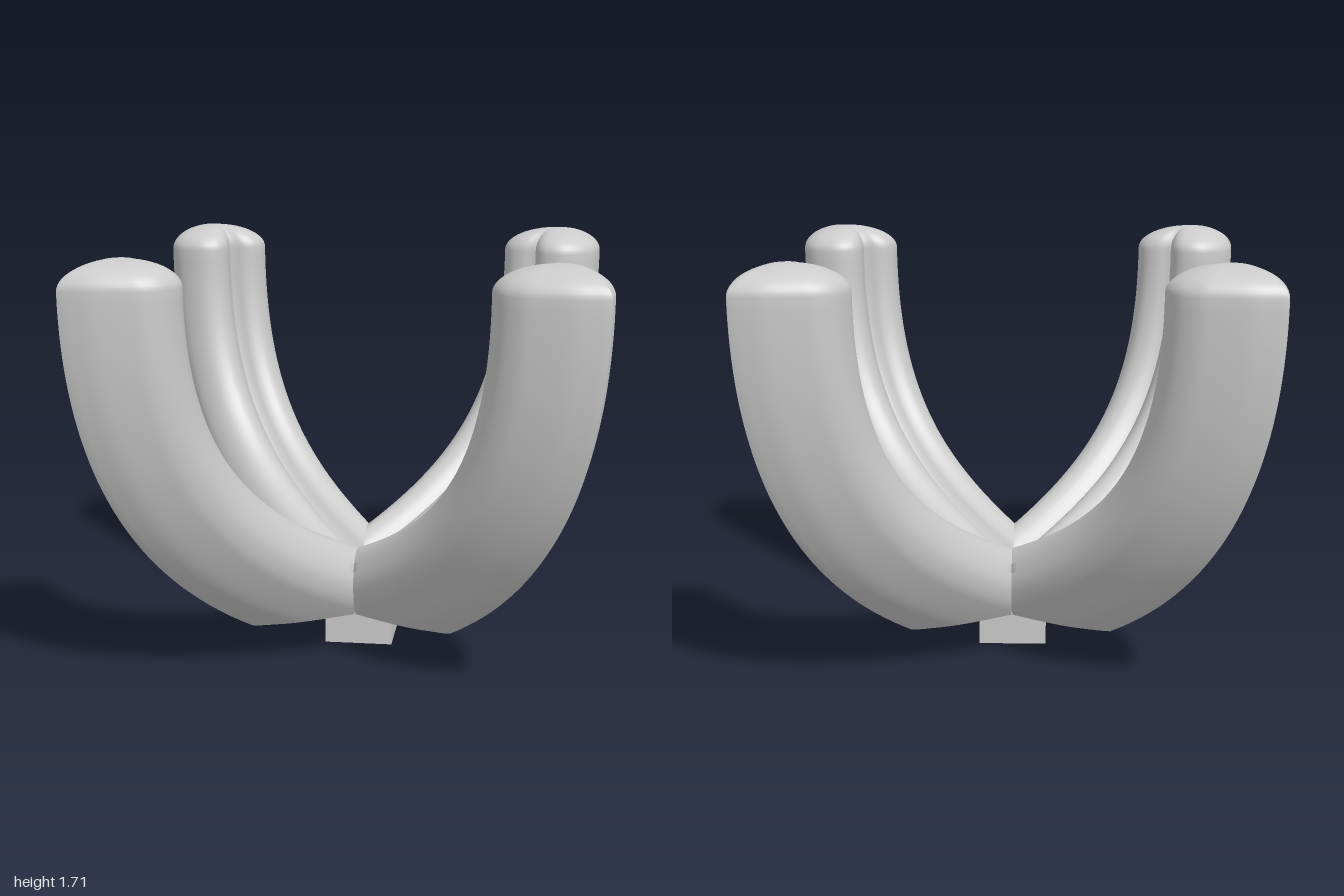
import * as THREE from 'three';
import { toCreasedNormals } from 'three/addons/utils/BufferGeometryUtils.js';

const RINGS = 48, CAP = 14, HALF = 36;

// Arm centre line in its own vertical plane (x = outward, y = up)
const path = new THREE.CubicBezierCurve(
  new THREE.Vector2(0, 0.16), new THREE.Vector2(0.62, 0.4),
  new THREE.Vector2(1.15, 0.7), new THREE.Vector2(1.15, 1.6));

// Heart cross-section: x = sideways, y = outward; notch first, then round to the tip
function heartSection() {
  const half = new THREE.SplineCurve([
    [0, -0.15], [0.018, -0.163], [0.045, -0.192], [0.106, -0.21], [0.18, -0.17],
    [0.222, -0.08], [0.214, 0], [0.184, 0.055], [0.106, 0.158], [0.04, 0.215],
    [0.012, 0.236], [0, 0.242],
  ].map(([x, y]) => new THREE.Vector2(x, y))).getSpacedPoints(HALF);
  const mirrored = half.slice(1, -1).reverse().map((p) => new THREE.Vector2(-p.x, p.y));
  return [...half, ...mirrored];
}

// Point of the sweep for section point p at path parameter u
function sweep(p, u) {
  const c = path.getPoint(u), t = path.getTangent(u);
  return new THREE.Vector3(c.x + t.y * p.y, c.y - t.x * p.y, p.x);
}

// Positive outside the underside plane and the mitre planes between arms
const clearance = (v) => Math.min(v.y - (0.18 - 0.04 * v.x), v.x - Math.abs(v.z));

// Parameter where a section point leaves the central joint
function startParameter(p) {
  let lo = 0, hi = 0.6;
  for (let i = 0; i < 30; i++) {
    const mid = (lo + hi) / 2;
    if (clearance(sweep(p, mid)) > 0) hi = mid; else lo = mid;
  }
  return hi;
}

function armGeometry() {
  const section = heartSection(), n = section.length;
  const starts = section.map(startParameter);
  const rings = [];
  // Curved body, each line starting on the cut joint
  for (let i = 0; i <= RINGS; i++) {
    rings.push(section.map((p, k) => sweep(p, starts[k] + (1 - starts[k]) * i / RINGS)));
  }
  // Domed end
  const rim = rings[RINGS], crown = new THREE.Vector3(1.13, 1.6, 0);
  for (let i = 1; i <= CAP; i++) {
    const a = (i / CAP) * Math.PI / 2;
    rings.push(rim.map((v) => {
      const q = crown.clone().lerp(v, Math.cos(a));
      q.y = 1.6 + 0.105 * Math.sin(a);
      return q;
    }));
  }
  const positions = rings.flat().flatMap((v) => [v.x, v.y, v.z]);
  const index = [];
  const last = rings.length - 1;
  for (let i = 0; i < last; i++) {
    for (let k = 0; k < n; k++) {
      const a = i * n + k, b = i * n + (k + 1) % n;
      index.push(a, b, a + n);
      if (i < last - 1) index.push(b, b + n, a + n);
    }
  }
  // Underside and mitre faces, fanned from the centre of the joint
  const centre = positions.length / 3;
  positions.push(0, 0.18, 0);
  for (let k = 0; k < n; k++) index.push(centre, (k + 1) % n, k);

  const geometry = new THREE.BufferGeometry();
  geometry.setAttribute('position', new THREE.Float32BufferAttribute(positions, 3));
  geometry.setIndex(index);
  return toCreasedNormals(geometry, 0.7);
}

export function createModel() {
  const model = new THREE.Group();
  model.name = 'fourArmStand';
  const material = new THREE.MeshStandardMaterial({ color: 0xcccccc });

  // Four identical arms on the diagonals
  const geometry = armGeometry();
  ['frontLeft', 'backLeft', 'backRight', 'frontRight'].forEach((corner, i) => {
    const arm = new THREE.Mesh(geometry, material);
    arm.name = corner + 'Arm';
    arm.rotation.y = -Math.PI / 4 + i * Math.PI / 2;
    model.add(arm);
  });

  // Square foot under the joint
  const foot = new THREE.Mesh(new THREE.BoxGeometry(0.284, 0.2, 0.284), material);
  foot.name = 'foot';
  foot.position.y = 0.1;
  model.add(foot);

  return model;
}
